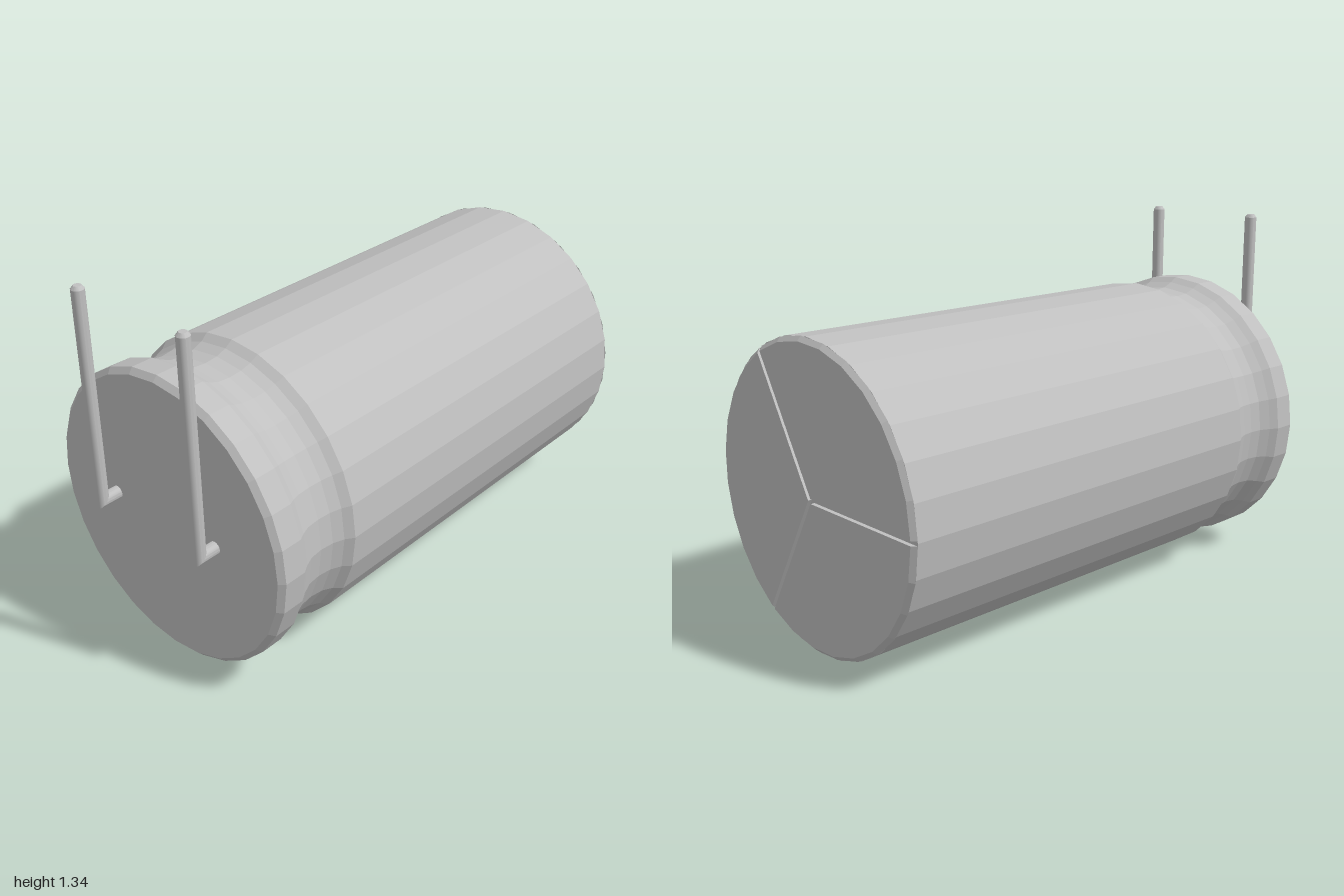
import * as THREE from 'three';
import { toCreasedNormals } from 'three/addons/utils/BufferGeometryUtils.js';

const R = 0.538, AXIS_Y = 0.54, SEGMENTS = 28;
const RIM_Z = -0.985, BACK_Z = -1, FRONT_Z = 0.91;

const lathe = (points, sides) =>
  new THREE.LatheGeometry(points.map(([r, h]) => new THREE.Vector2(r, h)), sides);

// Give every facet its own normal
function faceted(geometry) {
  const flat = geometry.toNonIndexed();
  flat.computeVertexNormals();
  return flat;
}

// Move vertices by a rule
function reshape(geometry, rule) {
  const p = geometry.attributes.position, v = new THREE.Vector3();
  for (let i = 0; i < p.count; i++) {
    rule(v.fromBufferAttribute(p, i));
    p.setXYZ(i, v.x, v.y, v.z);
  }
  return geometry;
}

// One third of the back plate, with a bevelled outer edge and half a gap on each side
function backSector(start) {
  const gap = 0.008, span = Math.PI * 2 / 3, mid = start + span / 2;
  const inset = gap / Math.sin(span / 2), trim = Math.asin(gap / R);
  const shape = new THREE.Shape();
  shape.moveTo(Math.cos(mid) * inset, Math.sin(mid) * inset);
  const steps = 9;
  for (let i = 0; i <= steps; i++) {
    const a = start + trim + (span - 2 * trim) * i / steps;
    shape.lineTo(Math.cos(a) * R, Math.sin(a) * R);
  }
  const geometry = new THREE.ExtrudeGeometry(shape, { depth: RIM_Z - BACK_Z, bevelEnabled: false });
  reshape(geometry, v => {
    if (v.z < 0.001 && Math.hypot(v.x, v.y) > 0.4) { v.x *= 0.97; v.y *= 0.97; }
  });
  geometry.translate(0, 0, BACK_Z);
  return faceted(geometry);
}

// Bent wire lead: a stub out of the face, mitred into a vertical wire
function makeLead(material) {
  const r = 0.023, length = 0.795, stubLength = 0.08;
  const lead = new THREE.Group();

  const wire = lathe([[r, 0], [r, length - 0.012], [r * 0.6, length], [0, length]], 16);
  reshape(wire, v => { if (v.y < 0.001) v.y = -v.z; });

  const stub = lathe([[r, -stubLength], [r, 0]], 16).rotateX(Math.PI / 2);
  reshape(stub, v => { if (v.z > -0.001) v.z = -v.y; });

  for (const [name, geometry] of [['leadWire', wire], ['leadStub', stub]]) {
    const mesh = new THREE.Mesh(toCreasedNormals(geometry, 0.6), material);
    mesh.name = name;
    lead.add(mesh);
  }
  return lead;
}

export function createModel() {
  const model = new THREE.Group();
  model.name = 'capacitor';
  const grey = new THREE.MeshStandardMaterial({ color: 0xc0c0c0 });
  grey.name = 'light grey';

  // Can with a rolled groove near the front
  const profile = [
    [0, RIM_Z], [R, RIM_Z], [R, 0.57],
    [0.517, 0.6], [0.503, 0.64], [0.498, 0.69], [0.503, 0.74], [0.52, 0.78],
    [R, 0.81], [R, FRONT_Z - 0.018], [0.518, FRONT_Z], [0, FRONT_Z],
  ];
  const can = new THREE.Mesh(faceted(lathe(profile, SEGMENTS).rotateX(Math.PI / 2)), grey);
  can.name = 'can';
  can.position.y = AXIS_Y;
  model.add(can);

  // Vented back plate in three sectors
  const backPlate = new THREE.Group();
  backPlate.name = 'backPlate';
  backPlate.position.y = AXIS_Y;
  for (let i = 0; i < 3; i++) {
    const sector = new THREE.Mesh(backSector((i * 2 - 1) * Math.PI / 3), grey);
    sector.name = 'backPlateSector';
    backPlate.add(sector);
  }
  model.add(backPlate);

  // Pair of leads bent upwards
  for (const side of [1, -1]) {
    const lead = makeLead(grey);
    lead.name = side > 0 ? 'leftLead' : 'rightLead';
    lead.position.set(side * 0.24, 0.545, 0.977);
    model.add(lead);
  }
  return model;
}
